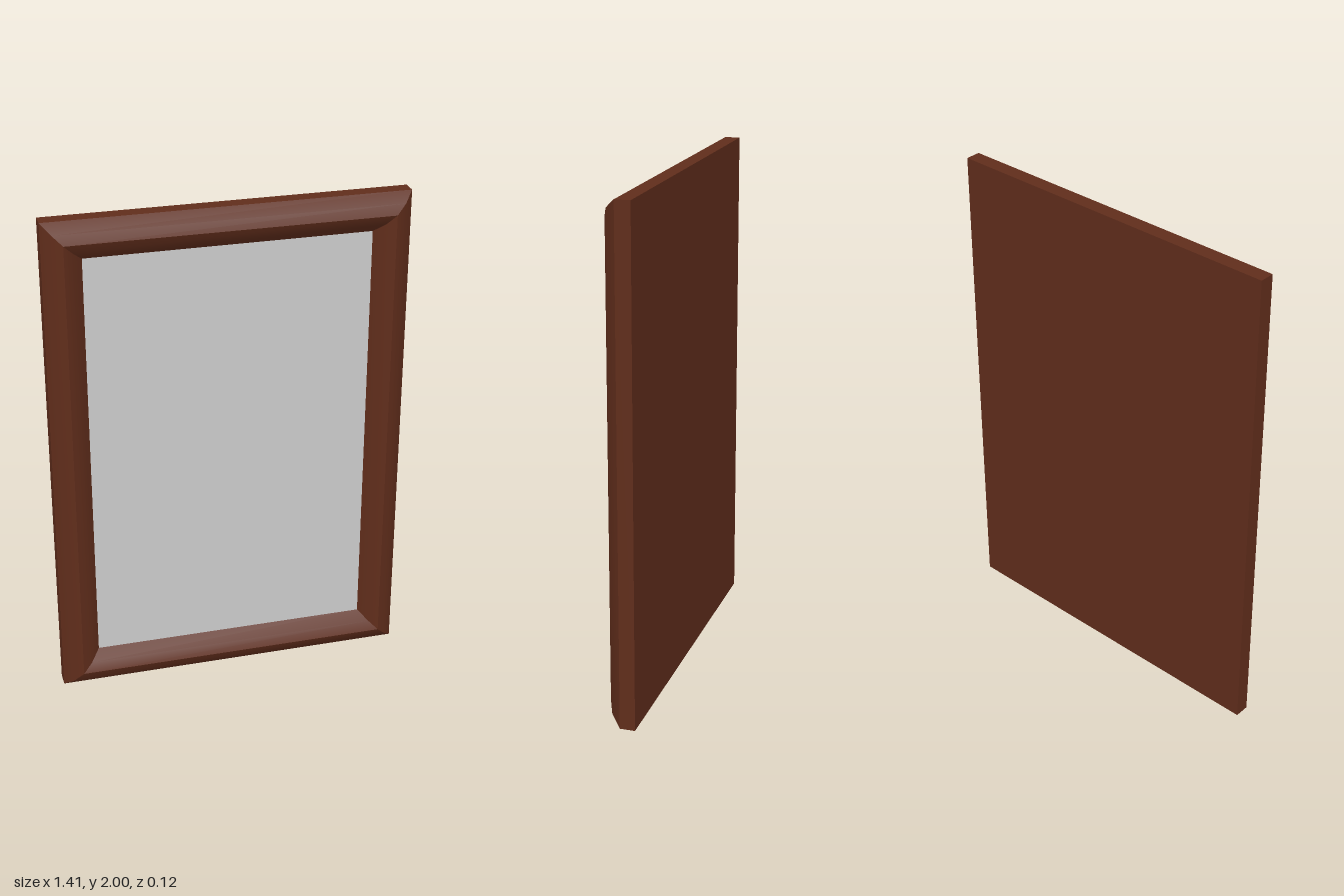
import * as THREE from 'three';
import { toCreasedNormals } from 'three/addons/utils/BufferGeometryUtils.js';

const HALF_W = 0.707, HEIGHT = 2, BORDER = 0.15;

// Moulding cross-section: [inset from the outer edge, z]
const PROFILE = [
  [0, -0.06], [0, 0], [0.037, 0.042], [0.075, 0.06], [0.113, 0.042], [BORDER, 0],
];

// Sweeps the profile round the rectangle with mitred corners and closes the back
function mouldingGeometry() {
  const positions = [], index = [];
  for (const [d, z] of PROFILE) {
    const x = HALF_W - d, top = HEIGHT - d;
    positions.push(-x, d, z, x, d, z, x, top, z, -x, top, z);
  }
  for (let i = 0; i < PROFILE.length - 1; i++) {
    for (let j = 0; j < 4; j++) {
      const a = i * 4 + j, b = i * 4 + (j + 1) % 4;
      index.push(a, b, b + 4, a, b + 4, a + 4);
    }
  }
  index.push(0, 2, 1, 0, 3, 2); // back panel
  const geometry = new THREE.BufferGeometry();
  geometry.setAttribute('position', new THREE.Float32BufferAttribute(positions, 3));
  geometry.setIndex(index);
  return toCreasedNormals(geometry, Math.PI / 6);
}

export function createModel() {
  const group = new THREE.Group();
  group.name = 'pictureFrame';

  // Wooden moulding with solid back
  const frame = new THREE.Mesh(
    mouldingGeometry(), new THREE.MeshStandardMaterial({ color: 0x602d1b }));
  frame.name = 'woodenFrame';

  // Blank picture filling the opening
  const picture = new THREE.Mesh(
    new THREE.PlaneGeometry(2 * (HALF_W - BORDER), HEIGHT - 2 * BORDER),
    new THREE.MeshStandardMaterial({ color: 0xcccccc }));
  picture.name = 'picture';
  picture.position.y = HEIGHT / 2;

  group.add(frame, picture);
  return group;
}
